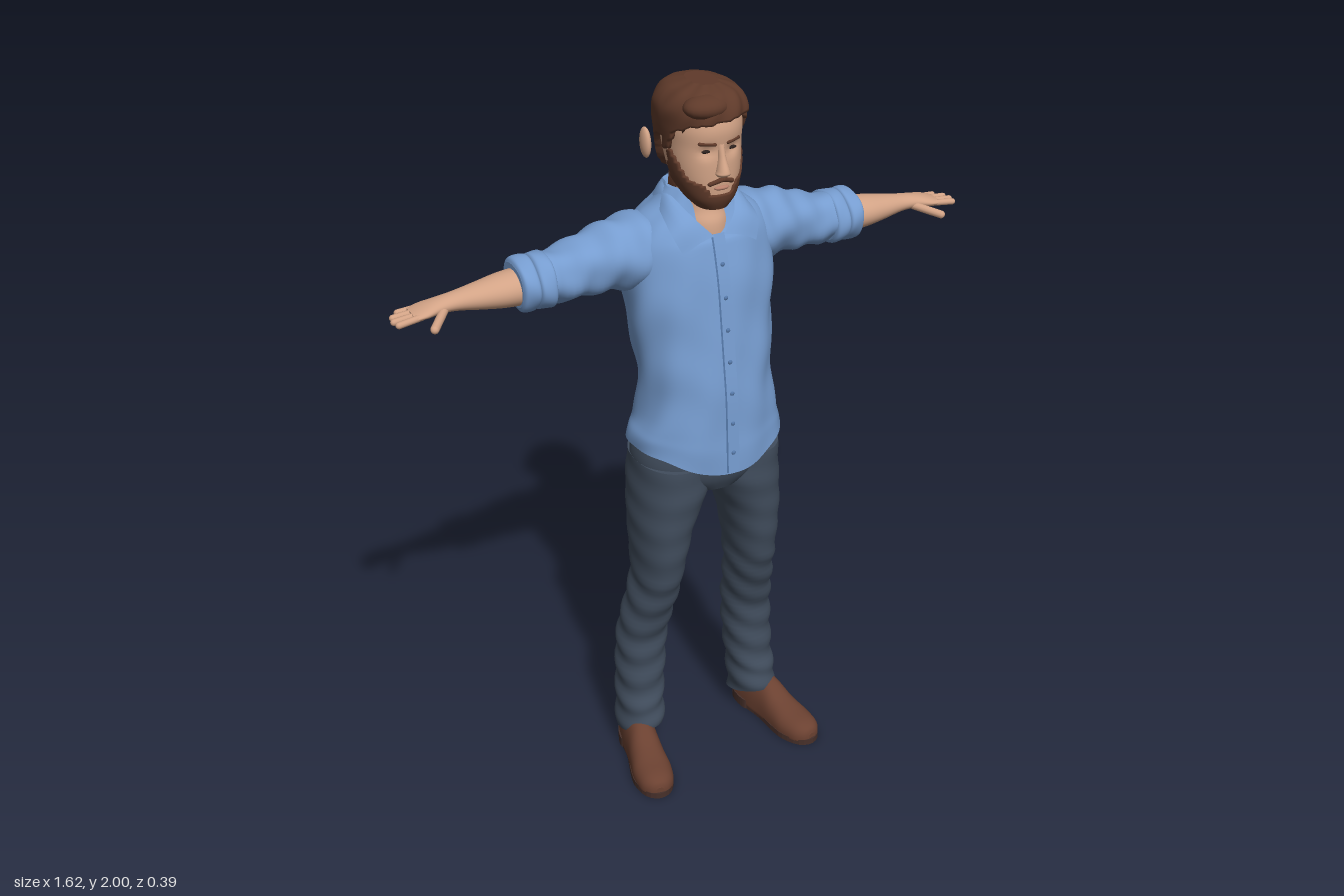
import * as THREE from 'three';

const mat = (name, color, side = THREE.FrontSide) => {
  const m = new THREE.MeshStandardMaterial({ color, side });
  m.name = name;
  return m;
};

// Catmull-Rom through rows of numbers
function rowAt(rows, u) {
  const n = rows.length - 1, i = Math.min(Math.floor(u * n), n - 1), f = u * n - i;
  const R = k => rows[Math.max(0, Math.min(n, k))];
  return rows[i].map((_, k) => {
    const a = R(i - 1)[k], b = R(i)[k], c = R(i + 1)[k], d = R(i + 2)[k];
    return b + 0.5 * f * (c - a + f * (2 * a - 5 * b + 4 * c - d + f * (3 * (b - c) + d - a)));
  });
}

// Piecewise-linear lookup: pts = [[x, y], ...] with rising x
function lerpAt(pts, x) {
  for (let i = 1; i < pts.length; i++) {
    if (x <= pts[i][0]) {
      const [x0, y0] = pts[i - 1], [x1, y1] = pts[i];
      return y0 + (y1 - y0) * Math.max(0, (x - x0) / (x1 - x0));
    }
  }
  return pts[pts.length - 1][1];
}

// Skin over oval sections [along axis, centre a, centre b, radius a, radius b]
function loft(axis, rows, { n = 2, seg = 48, steps = 6, wrinkle, warp } = {}) {
  const pos = [], idx = [], rings = (rows.length - 1) * steps + 1;
  const pw = v => Math.sign(v) * Math.abs(v) ** (2 / n);
  for (let i = 0; i < rings; i++) {
    const [t, ca, cb, ra, rb] = rowAt(rows, i / (rings - 1));
    for (let j = 0; j < seg; j++) {
      const th = (j / seg) * Math.PI * 2, w = wrinkle ? wrinkle(t, th) : 0;
      const a = ca + (ra + w) * pw(Math.cos(th)), b = cb + (rb + w) * pw(Math.sin(th));
      const p = axis === 'y' ? [a, t, b] : axis === 'x' ? [t, a, b] : [a, b, t];
      if (warp) warp(p, Math.sin(th), ca, cb);
      pos.push(...p);
    }
  }
  const tri = (a, b, c) => (axis === 'y' ? idx.push(a, b, c) : idx.push(a, c, b));
  for (let i = 0; i < rings - 1; i++) for (let j = 0; j < seg; j++) {
    const a = i * seg + j, d = i * seg + (j + 1) % seg;
    tri(a, a + seg, d);
    tri(d, a + seg, d + seg);
  }
  for (const end of [0, rings - 1]) {
    const s = pos.length / 3, c = [0, 0, 0];
    for (let j = 0; j < seg; j++) for (let k = 0; k < 3; k++) {
      const v = pos[(end * seg + j) * 3 + k];
      pos.push(v);
      c[k] += v / seg;
    }
    pos.push(...c);
    for (let j = 0; j < seg; j++) {
      const p = s + j, q = s + (j + 1) % seg;
      end ? tri(p, s + seg, q) : tri(p, q, s + seg);
    }
  }
  return build(pos, idx);
}

// Strip stretched between two curves
function ruled(A, B, n = 24, bulge = 0) {
  const pos = [], idx = [], m = 4;
  for (let i = 0; i <= n; i++) {
    const a = rowAt(A, i / n), b = rowAt(B, i / n);
    for (let j = 0; j <= m; j++) {
      const f = j / m, h = bulge * Math.sin(f * Math.PI);
      pos.push(a[0] + (b[0] - a[0]) * f, a[1] + (b[1] - a[1]) * f + h, a[2] + (b[2] - a[2]) * f + h * 0.5);
      const k = i * (m + 1) + j;
      if (i < n && j < m) idx.push(k, k + m + 1, k + 1, k + 1, k + m + 1, k + m + 2);
    }
  }
  return build(pos, idx);
}

function build(pos, idx) {
  const g = new THREE.BufferGeometry();
  g.setAttribute('position', new THREE.Float32BufferAttribute(pos, 3));
  g.setIndex(idx);
  g.computeVertexNormals();
  return g;
}

function mirrored(geo) {
  const g = geo.clone().scale(-1, 1, 1);
  const src = g.index ? [...g.index.array] : [...Array(g.attributes.position.count).keys()];
  for (let i = 0; i < src.length; i += 3) [src[i], src[i + 1]] = [src[i + 1], src[i]];
  g.setIndex(src);
  return g;
}

// Rounded rod between two points
function rod(a, b, r) {
  const A = new THREE.Vector3(...a), B = new THREE.Vector3(...b), d = B.clone().sub(A);
  const q = new THREE.Quaternion().setFromUnitVectors(new THREE.Vector3(0, 1, 0), d.clone().normalize());
  const c = A.add(B).multiplyScalar(0.5);
  return new THREE.CapsuleGeometry(r, d.length(), 6, 12).applyQuaternion(q).translate(c.x, c.y, c.z);
}

const ball = (x, y, z, rx, ry, rz) => new THREE.SphereGeometry(1, 20, 14).scale(rx, ry, rz).translate(x, y, z);

export function createModel() {
  const model = new THREE.Group();
  const skin = mat('skin', 0xd2a386), hair = mat('hair brown', 0x5f3a2a), shirt = mat('shirt blue', 0x769ccf, THREE.DoubleSide);
  const jeans = mat('denim', 0x414d5d), leather = mat('shoe leather', 0x6b4131), sole = mat('sole', 0x47302a);
  const dark = mat('eye dark', 0x2c211e), lip = mat('lip', 0xb57f6b), seam = mat('shirt seam', 0x5578a8, THREE.DoubleSide);
  const add = (name, geo, m) => {
    const mesh = new THREE.Mesh(geo, m);
    mesh.name = name;
    model.add(mesh);
  };
  const pair = (name, geo, m) => {
    add(name + 'Left', geo, m);
    add(name + 'Right', mirrored(geo), m);
  };

  // Shirt body with curved hem and open neck
  add('shirtBody', loft('y', [[1.0, 0, -0.013, 0.21, 0.159], [1.05, 0, -0.014, 0.206, 0.159], [1.1, 0, -0.013, 0.193, 0.153],
    [1.2, 0, -0.013, 0.178, 0.147], [1.3, 0, -0.027, 0.185, 0.147], [1.4, 0, -0.042, 0.195, 0.147], [1.5, 0, -0.05, 0.203, 0.14],
    [1.58, 0, -0.058, 0.198, 0.127], [1.64, 0, -0.06, 0.165, 0.11], [1.685, 0, -0.06, 0.11, 0.095], [1.725, 0, -0.06, 0.078, 0.08]], {
    n: 2.25, seg: 72,
    wrinkle: (y, t) => 0.003 * Math.sin(y * 38 + 3 * Math.sin(t * 2)) * Math.abs(Math.cos(t)) + 0.002 * Math.sin(t * 9 + y * 14),
    warp: (p, s) => {
      const k = Math.max(0, Math.min(1, (1.12 - p[1]) / 0.12));
      p[1] += k * (s > 0 ? 0.035 - 0.06 * s ** 4 : 0.035);
      if (p[1] > 1.6 && s > 0) p[1] = 1.6 + (p[1] - 1.6) * (1 - 0.62 * s ** 5);
    } }), shirt);

  // Button placket, seams and buttons
  const front = [[0.985, 0.152], [1.1, 0.146], [1.2, 0.14], [1.3, 0.126], [1.4, 0.112], [1.5, 0.097], [1.58, 0.077], [1.625, 0.062]];
  const line = (x, dz) => front.map(([y, z]) => [x, y, z + dz]);
  add('placket', ruled(line(-0.017, 0), line(0.017, 0)), shirt);
  add('placketSeam', ruled(line(-0.02, -0.001), line(-0.016, 0.001)), seam);
  for (let i = 0; i < 7; i++) {
    const y = 1.04 + i * 0.085;
    add('button', ball(0, y, lerpAt(front, y), 0.006, 0.006, 0.004), seam);
  }

  // Folded collar
  pair('collar', ruled(
    [[0, 1.735, -0.135], [0.07, 1.728, -0.1], [0.082, 1.71, -0.03], [0.058, 1.67, 0.04], [0.014, 1.622, 0.068]],
    [[0, 1.69, -0.165], [0.088, 1.686, -0.12], [0.115, 1.675, -0.03], [0.122, 1.64, 0.045], [0.103, 1.59, 0.073]], 28, 0.008), shirt);

  // Sleeves with rolled cuffs
  const crease = (x, t) => 0.004 * Math.sin(x * 75 + 2.5 * Math.sin(t + 1)) + 0.002 * Math.sin(t * 5 + x * 30);
  pair('sleeve', loft('x', [[0.08, 1.575, -0.075, 0.085, 0.085], [0.15, 1.565, -0.077, 0.094, 0.1], [0.2, 1.562, -0.08, 0.092, 0.098],
    [0.26, 1.557, -0.086, 0.083, 0.088], [0.33, 1.54, -0.09, 0.074, 0.077], [0.41, 1.532, -0.09, 0.064, 0.072]], { wrinkle: crease }), shirt);
  for (const [x, r] of [[0.4, 0.072], [0.443, 0.069]]) {
    pair('rolledCuff', loft('x', [[x, 1.531, -0.09, r - 0.01, r - 0.002], [x + 0.008, 1.531, -0.09, r, r + 0.009],
      [x + 0.038, 1.531, -0.09, r - 0.002, r + 0.007], [x + 0.046, 1.531, -0.09, r - 0.014, r - 0.006]], {
      wrinkle: (t, a) => 0.002 * Math.sin(a * 4 + t * 60) }), shirt);
  }

  // Forearm, palm, fingers and thumb
  pair('forearm', loft('x', [[0.45, 1.526, -0.09, 0.048, 0.056], [0.52, 1.526, -0.088, 0.043, 0.053], [0.58, 1.525, -0.088, 0.034, 0.042],
    [0.64, 1.524, -0.09, 0.024, 0.031], [0.685, 1.522, -0.09, 0.019, 0.031], [0.725, 1.517, -0.09, 0.015, 0.039], [0.757, 1.512, -0.091, 0.009, 0.037]]), skin);
  [[-0.06, 0.798], [-0.08, 0.803], [-0.101, 0.798], [-0.122, 0.778]].forEach(([z, tip]) =>
    pair('finger', rod([0.735, 1.514, z + (z + 0.09) * -0.1], [tip, 1.508, z + (z + 0.09) * 0.1], 0.0085), skin));
  pair('thumb', rod([0.68, 1.515, -0.068], [0.727, 1.502, -0.008], 0.011), skin);

  // Trousers
  add('trouserSeat', loft('y', [[0.9, 0, -0.02, 0.09, 0.11], [0.935, 0, -0.022, 0.165, 0.13], [0.97, 0, -0.02, 0.2, 0.137],
    [1.01, 0, -0.018, 0.203, 0.138], [1.07, 0, -0.016, 0.188, 0.134]], { n: 2.3 }), jeans);
  pair('trouserLeg', loft('y', [[0.07, 0.186, -0.065, 0.064, 0.081], [0.13, 0.185, -0.066, 0.065, 0.079], [0.2, 0.18, -0.075, 0.065, 0.075],
    [0.3, 0.174, -0.078, 0.067, 0.075], [0.4, 0.168, -0.073, 0.067, 0.074], [0.5, 0.158, -0.048, 0.063, 0.081], [0.6, 0.147, -0.025, 0.061, 0.093],
    [0.7, 0.141, -0.02, 0.069, 0.109], [0.8, 0.131, -0.02, 0.082, 0.12], [0.9, 0.109, -0.024, 0.1, 0.135], [0.99, 0.105, -0.02, 0.098, 0.132]], {
    n: 2.2,
    wrinkle: (y, t) => (y < 0.62 ? 0.004 : 0.0015) * Math.sin(y * 70 + 2.5 * Math.sin(t + 0.6)),
    warp: (p, s) => { p[1] += Math.max(0, 0.2 - p[1]) / 0.13 * 0.03 * s; } }), jeans);

  // Shoes: upper, sole and heel, toes turned outward
  const place = g => g.rotateY(0.197).translate(0.212, 0, 0);
  const slab = (pts, h) => place(new THREE.ExtrudeGeometry(
    new THREE.Shape(new THREE.SplineCurve(pts.map(p => new THREE.Vector2(...p))).getPoints(40)),
    { depth: h, bevelEnabled: false }).rotateX(Math.PI / 2).translate(0, h, 0));
  pair('shoeUpper', place(loft('z', [[-0.132, 0, 0.02, 0.022, 0.05], [-0.115, 0, 0.02, 0.04, 0.085], [-0.05, 0, 0.02, 0.047, 0.11], [0.01, 0, 0.02, 0.048, 0.1],
    [0.06, 0, 0.02, 0.052, 0.07], [0.11, 0, 0.02, 0.056, 0.052], [0.16, 0, 0.02, 0.048, 0.042], [0.185, 0, 0.02, 0.03, 0.03], [0.193, 0, 0.02, 0.012, 0.014]], {
    n: 2.3, warp: p => { p[1] = Math.max(p[1], 0.012); } })), leather);
  pair('shoeSole', slab([[0, -0.136], [0.036, -0.12], [0.046, -0.06], [0.045, 0], [0.056, 0.08], [0.056, 0.13], [0.036, 0.18], [0, 0.198],
    [-0.036, 0.18], [-0.056, 0.13], [-0.056, 0.08], [-0.045, 0], [-0.046, -0.06], [-0.036, -0.12], [0, -0.136]], 0.018), sole);
  pair('shoeHeel', slab([[0, -0.138], [0.038, -0.12], [0.048, -0.05], [0, -0.04], [-0.048, -0.05], [-0.038, -0.12], [0, -0.138]], 0.03), sole);

  // Neck and head
  add('neck', loft('y', [[1.57, 0, -0.05, 0.085, 0.1], [1.64, 0, -0.05, 0.075, 0.096], [1.69, 0, -0.048, 0.064, 0.076], [1.8, 0, -0.05, 0.064, 0.075]]), skin);
  const headRows = [[1.7, 0, 0.02, 0.035, 0.045], [1.72, 0, 0.01, 0.06, 0.067], [1.76, 0, -0.01, 0.08, 0.09], [1.8, 0, -0.02, 0.089, 0.1],
    [1.85, 0, -0.03, 0.094, 0.108], [1.9, 0, -0.035, 0.097, 0.115], [1.95, 0, -0.04, 0.085, 0.1], [1.985, 0, -0.04, 0.04, 0.05]];
  add('head', loft('y', headRows, { n: 2.2, seg: 64, warp: p => {
    if (p[2] > 0) p[2] -= 0.01 * Math.exp(-(((Math.abs(p[0]) - 0.035) / 0.018) ** 2) - ((p[1] - 1.845) / 0.014) ** 2);
  } }), skin);

  // Beard, trimmed along the cheeks
  const cheek = [[-0.35, 1.71], [-0.1, 1.8], [0.05, 1.85], [0.3, 1.83], [0.6, 1.775], [0.88, 1.765], [0.96, 1.738], [1, 1.738]];
  const beardRows = headRows.slice(0, 6).map(([y, x, z, a, b], i) => [i ? y : y - 0.008, x, z, a + 0.005, b + 0.005]);
  add('beard', loft('y', beardRows, { n: 2.2, seg: 64, steps: 8, warp: (p, s, cx, cz) => {
    const top = lerpAt(cheek, s);
    if (p[1] > top) { p[1] = top; p[0] *= 0.75; p[2] = cz + (p[2] - cz) * 0.75; }
  } }), hair);
  pair('moustache', rod([0.003, 1.774, 0.084], [0.03, 1.764, 0.074], 0.006), hair);
  add('lips', ball(0, 1.752, 0.078, 0.021, 0.006, 0.009), lip);

  // Hair, trimmed along the hairline, swept to one side
  const hairline = [[-1, 1.742], [-0.75, 1.75], [-0.5, 1.79], [-0.3, 1.855], [-0.05, 1.86], [0, 1.83], [0.25, 1.835], [0.4, 1.89], [0.7, 1.915], [1, 1.922]];
  add('hair', loft('y', [[1.735, 0, -0.07, 0.07, 0.07], [1.78, 0, -0.055, 0.09, 0.1], [1.85, 0, -0.042, 0.102, 0.128], [1.9, 0, -0.037, 0.107, 0.134],
    [1.945, 0, -0.033, 0.105, 0.13], [1.98, 0, -0.03, 0.08, 0.105], [1.997, 0, -0.025, 0.035, 0.055]], {
    n: 2.2, seg: 72, steps: 8,
    wrinkle: (y, t) => 0.003 * Math.sin(t * 11 + y * 55) * (Math.sin(t) > 0 ? 1 : 0.3),
    warp: (p, s, cx, cz) => {
      const low = lerpAt(hairline, s) + (s > 0.5 ? 0.12 * p[0] : 0);
      if (p[1] < low) { p[1] = low; p[0] *= 0.78; p[2] = cz + (p[2] - cz) * 0.78; }
    } }), hair);
  add('quiff', ball(-0.03, 1.955, 0.055, 0.06, 0.03, 0.045), hair);

  // Ears, nose, eyes and brows
  pair('ear', ball(0.097, 1.818, -0.048, 0.012, 0.04, 0.024).rotateX(-0.05).translate(0, 0, -0.09 + 0.09), skin);
  add('nose', loft('y', [[1.782, 0, 0.08, 0.012, 0.012], [1.79, 0, 0.085, 0.019, 0.02], [1.8, 0, 0.084, 0.016, 0.021],
    [1.83, 0, 0.077, 0.01, 0.014], [1.862, 0, 0.072, 0.009, 0.009]], { seg: 24 }), skin);
  pair('eye', ball(0.035, 1.845, 0.064, 0.013, 0.0045, 0.005), dark);
  pair('brow', rod([0.018, 1.864, 0.077], [0.053, 1.867, 0.064], 0.0045), hair);
  return model;
}
